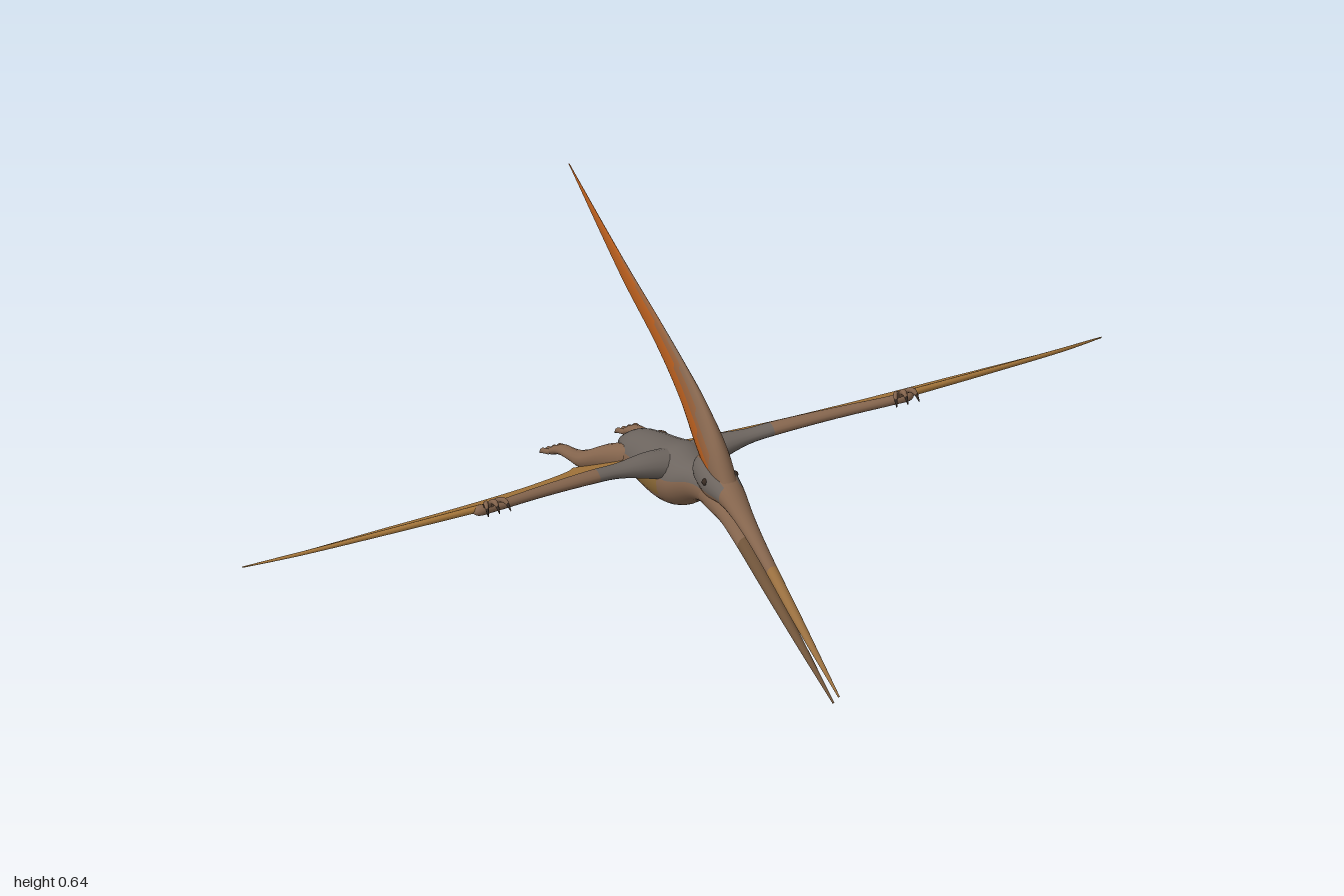
import * as THREE from 'three';

const mat = (name, color, side = THREE.FrontSide) => {
  const m = new THREE.MeshStandardMaterial({ color, side });
  m.name = name;
  return m;
};
const X = new THREE.Vector3(1, 0, 0), Y = new THREE.Vector3(0, 1, 0), Z = new THREE.Vector3(0, 0, 1);

// Smooth loft through elliptical sections [x, y, z, halfWidth, halfHeight].
// pick(point, sinAngle) gives the material index of each quad.
function loft(name, sections, mats, { side = X, steps = 5, n = 20, pick = () => 0 } = {}) {
  const path = new THREE.CatmullRomCurve3(sections.map(s => new THREE.Vector3(s[0], s[1], s[2])), false, 'catmullrom', 0.5);
  const size = new THREE.CatmullRomCurve3(sections.map(s => new THREE.Vector3(s[3], s[4], 0)), false, 'catmullrom', 0.5);
  const rings = (sections.length - 1) * steps;
  const pos = [], buckets = mats.map(() => []), centres = [];
  for (let i = 0; i <= rings; i++) {
    const c = path.getPoint(i / rings), r = size.getPoint(i / rings);
    centres.push(c);
    for (let j = 0; j < n; j++) {
      const a = (j / n) * Math.PI * 2;
      const p = c.clone()
        .addScaledVector(side, Math.cos(a) * Math.max(r.x, 0.0008))
        .addScaledVector(Y, Math.sin(a) * Math.max(r.y, 0.0008));
      pos.push(p.x, p.y, p.z);
    }
  }
  const ahead = centres[rings].clone().sub(centres[0]).dot(side.clone().cross(Y)) > 0;
  for (let i = 0; i < rings; i++) {
    for (let j = 0; j < n; j++) {
      const k = (j + 1) % n;
      const a = i * n + j, b = i * n + k, c = b + n, d = a + n;
      const out = buckets[pick(centres[i], Math.sin(((j + 0.5) / n) * Math.PI * 2))];
      out.push(...(ahead ? [a, b, c, a, c, d] : [a, c, b, a, d, c]));
    }
  }
  const g = new THREE.BufferGeometry();
  g.setAttribute('position', new THREE.Float32BufferAttribute(pos, 3));
  g.setIndex(buckets.flat());
  let start = 0;
  buckets.forEach((b, i) => { g.addGroup(start, b.length, i); start += b.length; });
  g.computeVertexNormals();
  const mesh = new THREE.Mesh(g, mats);
  mesh.name = name;
  return mesh;
}

// Sections on the centre plane: [z, y, halfWidth, halfHeight]
const mid = rows => rows.map(([z, y, w, h]) => [0, y, z, w, h]);

export function createModel() {
  const model = new THREE.Group();
  model.name = 'flyingReptile';
  const brown = mat('skin brown', 0x86664e);
  const grey = mat('back grey', 0x6d655f);
  const tan = mat('flank tan', 0x8a6836);
  const beakTan = mat('beak tan', 0x9a7040);
  const jawBrown = mat('jaw brown', 0x70543a);
  const orange = mat('crest orange', 0xb85e1e);
  const rust = mat('crest rust', 0x96603a);
  const membraneMat = mat('membrane ochre', 0xa8783c, THREE.DoubleSide);
  const dark = mat('claw dark', 0x382c24);

  // Neck, trunk and tail
  model.add(loft('body', mid([
    [0.1, 0.222, 0.026, 0.033], [0.04, 0.225, 0.03, 0.04], [-0.01, 0.213, 0.036, 0.043],
    [-0.06, 0.19, 0.06, 0.06], [-0.11, 0.18, 0.07, 0.072], [-0.18, 0.16, 0.064, 0.066],
    [-0.25, 0.142, 0.054, 0.058], [-0.31, 0.127, 0.046, 0.046], [-0.36, 0.115, 0.022, 0.02],
    [-0.395, 0.097, 0.003, 0.004]]), [brown, grey, tan], {
    n: 28,
    pick: (p, s) => s > 0.15 ? 1 : (s > -0.5 && p.z < -0.08 && p.z > -0.23 ? 2 : 0),
  }));

  // Skull with upper beak
  model.add(loft('head', mid([
    [0.635, 0.05, 0.002, 0.002], [0.45, 0.126, 0.01, 0.01], [0.295, 0.193, 0.014, 0.014],
    [0.2, 0.234, 0.02, 0.018], [0.13, 0.26, 0.03, 0.029], [0.07, 0.262, 0.038, 0.044],
    [0.02, 0.262, 0.033, 0.04], [-0.012, 0.257, 0.02, 0.026], [-0.022, 0.255, 0.002, 0.003]]),
    [brown, grey, beakTan], {
      pick: (p, s) => p.z > 0.34 ? 2 : (p.z < 0.135 && s < 0.8 && s > -0.4 ? 1 : 0),
    }));

  // Lower beak and throat
  model.add(loft('lowerBeak', mid([
    [0.61, 0.02, 0.002, 0.002], [0.45, 0.079, 0.009, 0.009], [0.295, 0.136, 0.014, 0.014],
    [0.2, 0.181, 0.021, 0.019], [0.13, 0.215, 0.029, 0.027], [0.07, 0.222, 0.032, 0.036],
    [0.01, 0.215, 0.028, 0.034]]), [jawBrown, brown], { pick: p => p.z > 0.2 ? 0 : 1 }));

  // Crest: [z, top, bottom, halfWidth]
  const crest = [[0.13, 0.286, 0.25, 0.018], [0.07, 0.36, 0.245, 0.025], [-0.01, 0.42, 0.285, 0.019],
    [-0.1, 0.46, 0.362, 0.012], [-0.22, 0.502, 0.434, 0.008], [-0.39, 0.557, 0.508, 0.005],
    [-0.633, 0.645, 0.642, 0.001]];
  model.add(loft('crest', mid(crest.map(([z, t, b, w]) => [z, (t + b) / 2, w, (t - b) / 2])),
    [orange, rust, brown], {
      n: 24,
      pick: (p, s) => {
        if (p.z > 0.07) return 2;
        const edge = 0.3 - p.z * 2.2;
        return s > edge + 0.3 ? 2 : (s > edge - 0.15 ? 1 : 0);
      },
    }));

  for (const s of [1, -1]) {
    const tag = s > 0 ? 'left' : 'right';
    const half = new THREE.Group();
    half.name = tag + 'Side';
    model.add(half);
    const flip = rows => rows.map(([x, ...r]) => [x * s, ...r]);

    // Wing membrane, sloping down to the rear
    const lead = [[0.14, -0.095], [0.3, -0.072], [0.49, -0.05], [0.68, -0.068], [0.86, -0.095], [0.95, -0.125], [1, -0.148]];
    const trail = [[0.93, -0.152], [0.78, -0.17], [0.64, -0.19], [0.51, -0.202], [0.4, -0.222], [0.3, -0.253],
      [0.2, -0.307], [0.14, -0.355], [0.108, -0.4]];
    const pts = a => a.map(([x, z]) => new THREE.Vector2(x * s, z));
    const shape = new THREE.Shape();
    shape.moveTo(0.03 * s, -0.1);
    shape.lineTo(0.14 * s, -0.095);
    shape.splineThru(pts(lead.slice(1)));
    shape.splineThru(pts(trail));
    shape.lineTo(0.06 * s, -0.345);
    shape.lineTo(0.03 * s, -0.33);
    const g = new THREE.ShapeGeometry(shape, 8);
    const slope = z => 0.265 + (z + 0.05) * 0.6;
    const p = g.attributes.position;
    for (let i = 0; i < p.count; i++) p.setXYZ(i, p.getX(i), slope(p.getY(i)), p.getY(i));
    g.computeVertexNormals();
    const membrane = new THREE.Mesh(g, membraneMat);
    membrane.name = tag + 'Membrane';
    half.add(membrane);

    // Long wing finger along the leading edge
    half.add(loft(tag + 'WingFinger', flip(lead.slice(2).map(([x, z], i) =>
      [x, slope(z), z - 0.003, 0.008 - i * 0.0017, 0.008 - i * 0.0017])), [membraneMat], { side: Z, n: 8 }));

    // Arm
    half.add(loft(tag + 'Arm', flip([
      [0.02, 0.21, -0.105, 0.04, 0.035], [0.08, 0.222, -0.105, 0.032, 0.027], [0.15, 0.232, -0.1, 0.02, 0.015],
      [0.22, 0.24, -0.092, 0.018, 0.013], [0.34, 0.25, -0.074, 0.014, 0.011], [0.46, 0.259, -0.053, 0.011, 0.01],
      [0.5, 0.262, -0.05, 0.012, 0.011], [0.515, 0.26, -0.052, 0.001, 0.001]]), [grey, brown],
      { side: Z, n: 14, pick: q => Math.abs(q.x) < 0.2 ? 0 : 1 }));

    // Hand claws
    for (const d of [-0.026, -0.004, 0.018]) {
      half.add(loft(tag + 'HandClaw', flip([
        [0.48, 0.262, -0.05, 0.008, 0.008], [0.48 + d * 0.6, 0.286, -0.035, 0.006, 0.007],
        [0.48 + d, 0.292, -0.016, 0.005, 0.006], [0.48 + d * 1.2, 0.275, 0, 0.001, 0.001]]),
        [brown, dark], { n: 8, pick: q => q.z > -0.012 ? 1 : 0 }));
    }

    // Leg and foot
    half.add(loft(tag + 'Leg', flip([
      [0.03, 0.13, -0.27, 0.025, 0.035], [0.055, 0.108, -0.33, 0.03, 0.033], [0.08, 0.078, -0.385, 0.024, 0.023],
      [0.084, 0.057, -0.44, 0.017, 0.014], [0.085, 0.042, -0.49, 0.015, 0.012],
      [0.087, 0.026, -0.52, 0.02, 0.011], [0.088, 0.018, -0.535, 0.015, 0.006]]), [brown], { n: 14 }));
    for (const d of [-0.019, -0.006, 0.007, 0.02]) {
      half.add(loft(tag + 'Toe', flip([
        [0.087 + d * 0.7, 0.026, -0.515, 0.006, 0.007], [0.087 + d, 0.02, -0.535, 0.006, 0.007],
        [0.087 + d, 0.013, -0.547, 0.0045, 0.006], [0.087 + d * 0.95, 0.002, -0.556, 0.001, 0.001]]),
        [brown, dark], { n: 8, pick: q => q.z < -0.548 ? 1 : 0 }));
    }

    // Eye
    const eye = new THREE.Mesh(new THREE.SphereGeometry(0.008, 12, 8), dark);
    eye.name = tag + 'Eye';
    eye.position.set(0.034 * s, 0.272, 0.075);
    half.add(eye);
  }
  return model;
}
